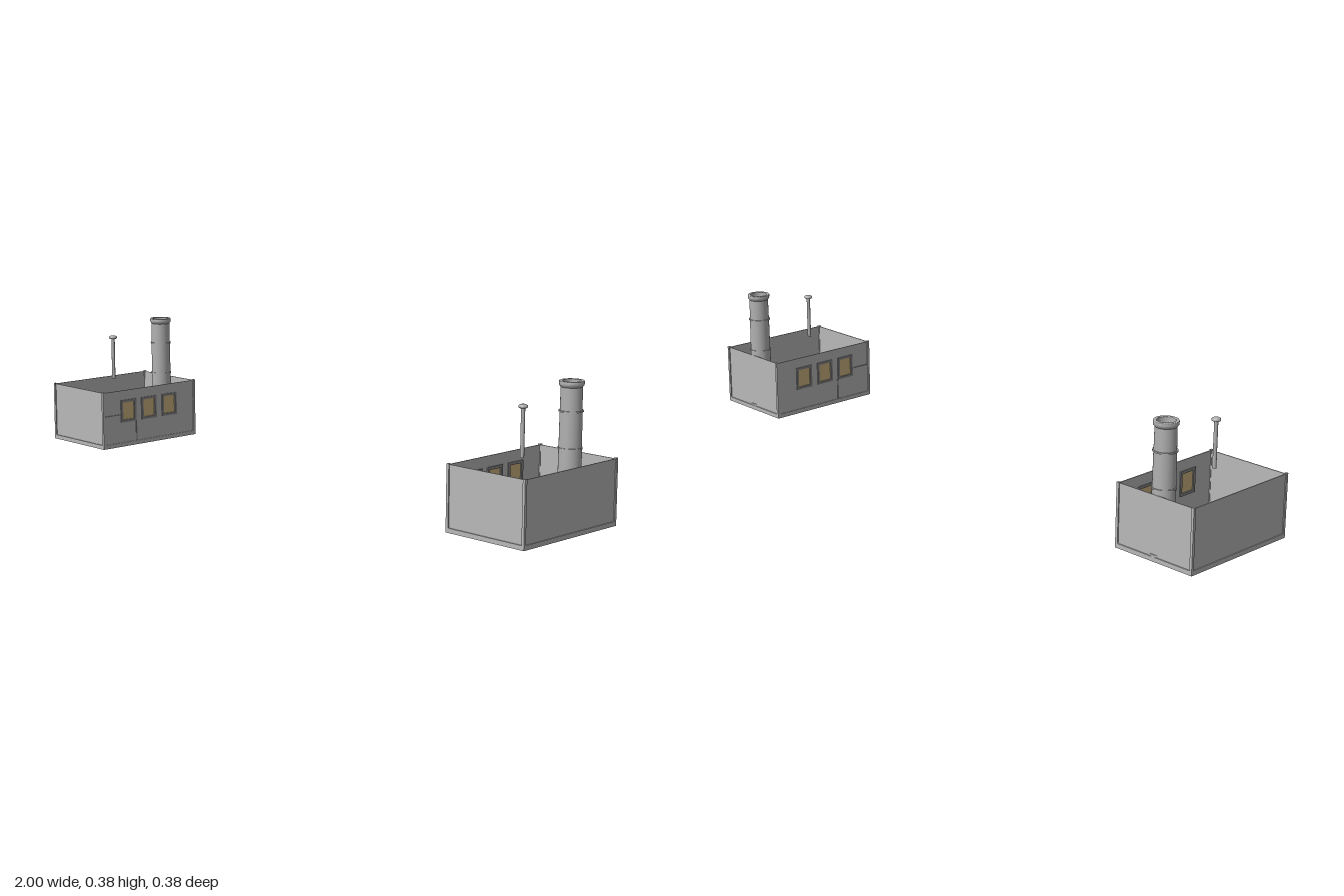
import * as THREE from 'three';

const material = (name, color, side = THREE.FrontSide) => {
  const m = new THREE.MeshStandardMaterial({ color, side });
  m.name = name;
  return m;
};

export function createModel() {
  const grey = material('wall grey', 0xb8b8b8);
  const pipeGrey = material('pipe grey', 0xb0b0b0, THREE.DoubleSide);
  const dark = material('trim grey', 0x858585);
  const tan = material('window tan', 0xccb27f, THREE.DoubleSide);

  const CX = 0.8675, HW = 0.1325, HD = 0.191, H = 0.185; // block centre, half sizes, height
  const windows = [-0.081, 0.004, 0.088]; // window centres along z
  const WW = 0.058, WY0 = 0.081, WY1 = 0.15;

  const add = (parent, name, geometry, mat, x = 0, y = 0, z = 0) => {
    const mesh = new THREE.Mesh(geometry, mat);
    mesh.name = name;
    mesh.position.set(x, y, z);
    parent.add(mesh);
    return mesh;
  };
  const box = (w, h, d) => new THREE.BoxGeometry(w, h, d);
  const rect = (path, x0, y0, x1, y1) =>
    path.moveTo(x0, y0).lineTo(x1, y0).lineTo(x1, y1).lineTo(x0, y1).closePath();
  const lathe = (points, segments) =>
    new THREE.LatheGeometry(points.map(p => new THREE.Vector2(...p)), segments).toNonIndexed();

  // Plate lying in the z-y plane, centred on x = 0
  const sidePlate = (z0, y0, z1, y1, holes, depth) => {
    const shape = new THREE.Shape();
    rect(shape, z0, y0, z1, y1);
    for (const h of holes) {
      const path = new THREE.Path();
      rect(path, ...h);
      shape.holes.push(path);
    }
    return new THREE.ExtrudeGeometry(shape, { depth, bevelEnabled: false })
      .translate(0, 0, -depth / 2).rotateY(-Math.PI / 2);
  };

  function buildBlock(side) {
    const block = new THREE.Group();
    block.name = side > 0 ? 'leftBlock' : 'rightBlock';
    block.position.x = side * CX;
    const inner = -side * (HW - 0.004); // window wall faces the gap between blocks
    const wallT = 0.003, wallTop = 0.183;

    // Open-topped shell
    add(block, 'floor', box(2 * HW - 0.004, 0.006, 2 * HD - 0.004), grey, 0, 0.003, 0);
    for (const s of [1, -1]) {
      add(block, s > 0 ? 'frontWall' : 'backWall', box(2 * HW - 0.008, wallTop, wallT), grey,
        0, wallTop / 2, s * (HD - 0.005));
      add(block, 'baseBoard', box(2 * HW, 0.013, 0.005), grey, 0, 0.0065, s * (HD - 0.0025));
      add(block, 'baseBoard', box(0.005, 0.013, 2 * HD - 0.01), grey, s * (HW - 0.0025), 0.0065, 0);
    }
    add(block, 'outerWall', box(wallT, wallTop, 2 * HD - 0.008), grey, -inner, wallTop / 2, 0);

    // Window wall with three framed panes
    const holes = windows.map(z => [z - WW / 2, WY0, z + WW / 2, WY1]);
    add(block, 'windowWall', sidePlate(-HD + 0.004, 0, HD - 0.004, wallTop, holes, wallT), grey, inner);
    windows.forEach((z, i) => {
      const [z0, y0, z1, y1] = holes[i], b = 0.006;
      add(block, 'windowFrame', sidePlate(z0 - 0.002, y0 - 0.002, z1 + 0.002, y1 + 0.002,
        [[z0 + b, y0 + b, z1 - b, y1 - b]], 0.008), dark, inner);
      add(block, 'windowPane', box(0.001, y1 - y0, z1 - z0), tan, inner, (y0 + y1) / 2, z);
    });

    // Thin conduit on the window wall
    const cx = inner - side * 0.002;
    add(block, 'verticalConduit', box(0.003, 0.068, 0.003), dark, cx, 0.046, 0.056);
    add(block, 'frontConduit', box(0.003, 0.003, 0.066), dark, cx, 0.105, 0.151);

    // Corner posts
    for (const sx of [1, -1]) for (const sz of [1, -1])
      add(block, 'cornerPost', box(0.008, H, 0.008), grey, sx * (HW - 0.004), H / 2, sz * (HD - 0.004));

    // Chimney standing against the back wall, slightly proud of it
    const chimney = new THREE.Group();
    chimney.name = 'chimney';
    chimney.position.z = -0.155;
    block.add(chimney);
    const sections = [[0, 0.2, 0.0325, 0.0315], [0.2, 0.3, 0.0312, 0.0305], [0.3, 0.368, 0.0302, 0.0295]];
    for (const [y0, y1, r0, r1] of sections)
      add(chimney, 'chimneySection', new THREE.CylinderGeometry(r1, r0, y1 - y0, 32, 1, true), pipeGrey,
        0, (y0 + y1) / 2, 0);
    for (const y of [0.198, 0.299])
      add(chimney, 'chimneyBand', new THREE.CylinderGeometry(0.0335, 0.0335, 0.004, 32), pipeGrey, 0, y, 0);
    add(chimney, 'chimneyFoot', new THREE.CylinderGeometry(0.0355, 0.0365, 0.019, 32), pipeGrey, 0, 0.0095, 0);
    add(chimney, 'chimneyRim', lathe([[0.0295, 0.364], [0.0335, 0.369], [0.0342, 0.373], [0.0342, 0.379],
      [0.033, 0.381], [0.026, 0.381], [0.025, 0.379], [0.025, 0.31], [0, 0.31]], 32), pipeGrey);

    // Slim vent pipe with a cap
    const vent = new THREE.Group();
    vent.name = 'ventPipe';
    vent.position.z = 0.045;
    block.add(vent);
    add(vent, 'ventStem', new THREE.CylinderGeometry(0.0055, 0.0055, 0.134, 16), pipeGrey, 0, 0.267, 0);
    add(vent, 'ventCap', lathe([[0, 0.331], [0.009, 0.331], [0.0125, 0.333], [0.0125, 0.338],
      [0.008, 0.341], [0, 0.342]], 20), pipeGrey);
    return block;
  }

  const model = new THREE.Group();
  model.name = 'twinBlocks';
  for (const side of [1, -1]) model.add(buildBlock(side));
  return model;
}
